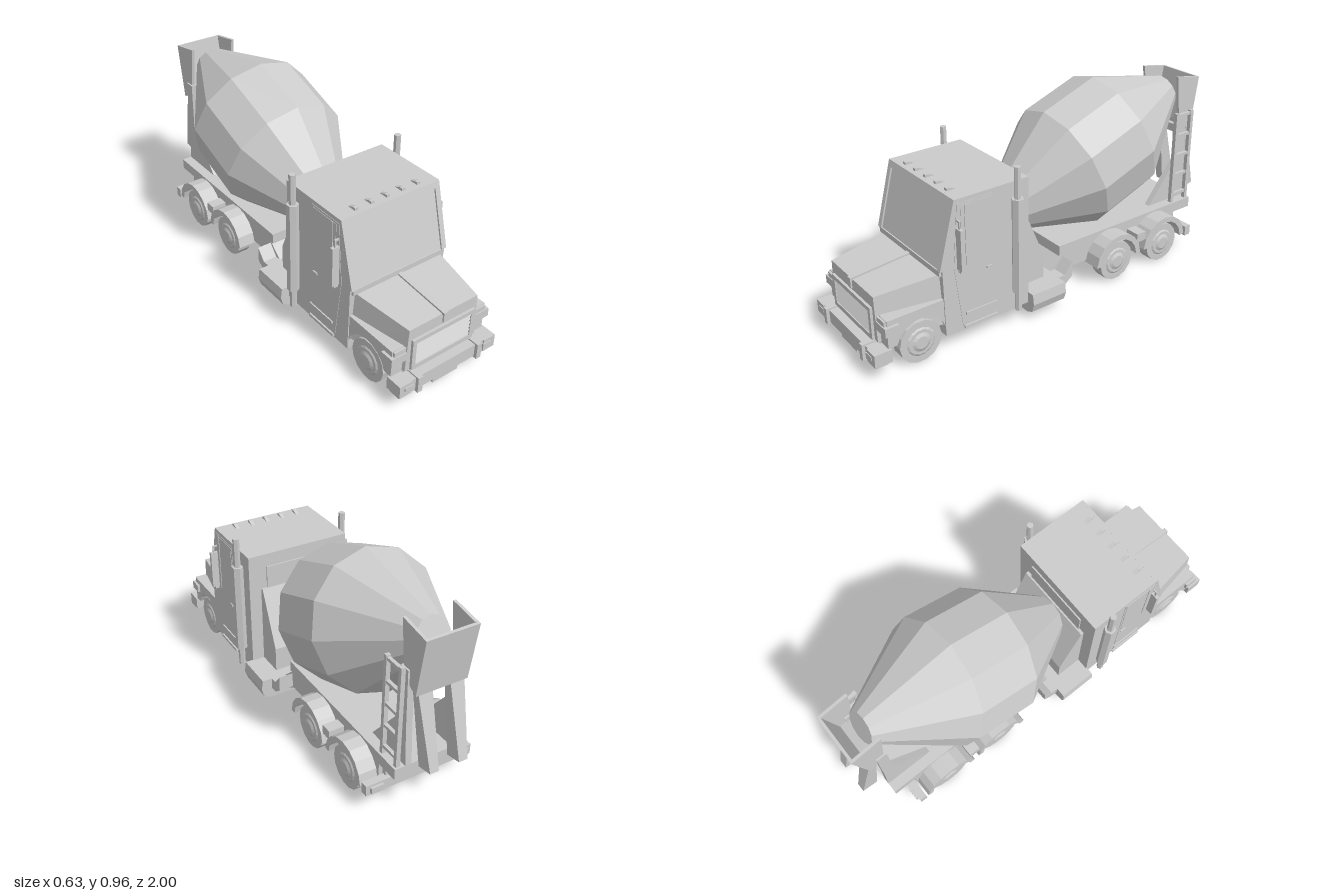
import * as THREE from 'three';

const grey = new THREE.MeshStandardMaterial({ color: 0xcccccc, flatShading: true, side: THREE.DoubleSide });

export function createModel() {
  const truck = new THREE.Group();
  truck.name = 'mixerTruck';

  const add = (name, geometry) => {
    const mesh = new THREE.Mesh(geometry, grey);
    mesh.name = name;
    truck.add(mesh);
    return mesh;
  };
  // Box given by its limits on each axis
  const box = (name, x0, x1, y0, y1, z0, z1) =>
    add(name, new THREE.BoxGeometry(x1 - x0, y1 - y0, z1 - z0)
      .translate((x0 + x1) / 2, (y0 + y1) / 2, (z0 + z1) / 2));
  // The same box on both sides
  const boxes = (name, x0, x1, ...rest) => {
    box(name, x0, x1, ...rest);
    box(name, -x1, -x0, ...rest);
  };
  // Side outline in (z, y), extruded from x0 to x1
  const slab = (name, outline, x0, x1) => {
    const shape = outline instanceof THREE.Shape ? outline
      : new THREE.Shape(outline.map(([z, y]) => new THREE.Vector2(z, y)));
    const g = new THREE.ExtrudeGeometry(shape, { depth: x1 - x0, bevelEnabled: false, curveSegments: 8 });
    return add(name, g.rotateY(-Math.PI / 2).translate(x1, 0, 0));
  };
  const slabs = (name, outline, x0, x1) => {
    slab(name, outline, x0, x1);
    slab(name, outline, -x1, -x0);
  };
  // Bar with a square section between two points
  const bar = (name, a, b, r) => {
    const p = new THREE.Vector3(...a), q = new THREE.Vector3(...b);
    const m = add(name, new THREE.CylinderGeometry(r, r, p.distanceTo(q), 6));
    m.position.copy(p).lerp(q, 0.5);
    m.quaternion.setFromUnitVectors(new THREE.Vector3(0, 1, 0), q.sub(p).normalize());
  };
  const arc = (cz, cy, r, from, to, n) => Array.from({ length: n + 1 }, (_, i) => {
    const a = from + (to - from) * i / n;
    return [cz + r * Math.cos(a), cy + r * Math.sin(a)];
  });

  // Mixing drum: twelve sides, tilted up toward the rear
  const drum = add('drum', new THREE.LatheGeometry([
    [0, -0.363], [0.11, -0.363], [0.315, 0], [0.315, 0.309], [0.08, 0.704], [0, 0.704],
  ].map(([r, y]) => new THREE.Vector2(r, y)), 12));
  drum.position.set(0, 0.555, -0.18);
  drum.rotation.x = -Math.atan2(0.937, 0.349);

  // Cab
  slab('cab', [[0.215, 0.085], [0.65, 0.085], [0.655, 0.4], [0.575, 0.705], [0.215, 0.705]], -0.26, 0.26);
  const glass = (y) => 0.655 - (y - 0.4) * 0.262;
  const pane = (name, y0, y1, x0, x1, t) =>
    slab(name, [[glass(y0), y0], [glass(y0) + t, y0], [glass(y1) + t, y1], [glass(y1), y1]], x0, x1);
  pane('windscreen', 0.4, 0.675, -0.235, 0.235, 0.004);
  pane('windscreenTopFrame', 0.675, 0.705, -0.26, 0.26, 0.012);
  pane('windscreenLeftFrame', 0.4, 0.675, 0.235, 0.26, 0.012);
  pane('windscreenRightFrame', 0.4, 0.675, -0.26, -0.235, 0.012);
  for (let i = -2; i <= 2; i++) {
    const x = i * 0.0825;
    slab('roofLight', [[0.52, 0.705], [0.565, 0.705], [0.565, 0.717], [0.55, 0.717]], x - 0.009, x + 0.009);
  }
  box('rearWindow', -0.17, 0.17, 0.52, 0.64, 0.208, 0.216);

  // Doors, windows, handles and steps
  slabs('door', [[0.395, 0.1], [0.565, 0.1], [0.6, 0.4], [0.575, 0.685], [0.395, 0.685]], 0.258, 0.262);
  slabs('sideWindow', [[0.405, 0.395], [0.56, 0.395], [0.56, 0.675], [0.405, 0.675]], 0.26, 0.264);
  boxes('windowPost', 0.26, 0.267, 0.395, 0.675, 0.535, 0.542);
  boxes('doorHandle', 0.26, 0.268, 0.345, 0.355, 0.41, 0.44);
  boxes('doorStep', 0.255, 0.27, 0.092, 0.105, 0.39, 0.56);
  boxes('upperDoorStep', 0.255, 0.268, 0.155, 0.167, 0.39, 0.55);

  // Mirrors on brackets
  boxes('mirror', 0.262, 0.298, 0.39, 0.58, 0.568, 0.585);
  boxes('mirrorPost', 0.275, 0.283, 0.375, 0.615, 0.573, 0.58);
  boxes('mirrorArm', 0.24, 0.283, 0.608, 0.616, 0.573, 0.58);
  boxes('lowerMirrorArm', 0.255, 0.283, 0.375, 0.383, 0.573, 0.58);

  // Front wings with a wheel arch, and the tapering hood above
  slab('frontWings', [[0.64, 0.12], ...arc(0.765, 0.1, 0.12, Math.PI - 0.2, 0.3, 8),
    [0.92, 0.135], [0.92, 0.265], [0.64, 0.265]], -0.255, 0.255);
  const hoodShape = new THREE.BoxGeometry(2, 1, 1);
  const p = hoodShape.attributes.position;
  for (let i = 0; i < p.count; i++) {
    const front = p.getZ(i) > 0, top = p.getY(i) > 0;
    const half = front ? (top ? 0.185 : 0.195) : (top ? 0.235 : 0.25);
    p.setXYZ(i, p.getX(i) * half, top ? (front ? 0.35 : 0.377) : 0.14, front ? 0.935 : 0.64);
  }
  add('hood', hoodShape);
  slab('hoodStrip', [[0.66, 0.37], [0.94, 0.345], [0.94, 0.31], [0.947, 0.31], [0.947, 0.358], [0.66, 0.383]], -0.012, 0.012);
  box('hoodBackEdge', -0.25, 0.25, 0.375, 0.4, 0.63, 0.665);

  // Grille
  boxes('grilleSide', 0.15, 0.17, 0.14, 0.295, 0.93, 0.947);
  box('grilleTop', -0.15, 0.15, 0.275, 0.295, 0.93, 0.947);
  box('grilleBottom', -0.15, 0.15, 0.14, 0.162, 0.93, 0.947);
  for (let i = 0; i < 6; i++) {
    const y = 0.168 + i * 0.0195;
    slab('grilleSlat', [[0.93, y], [0.946, y], [0.936, y + 0.014], [0.93, y + 0.014]], -0.15, 0.15);
  }
  boxes('headlight', 0.19, 0.268, 0.2, 0.24, 0.87, 0.935);
  boxes('indicator', 0.19, 0.25, 0.24, 0.262, 0.9, 0.93);

  // Front bumper
  box('frontBumper', -0.265, 0.265, 0.072, 0.135, 0.93, 0.985);
  boxes('bumperEnd', 0.2, 0.265, 0.075, 0.135, 0.91, 0.99);
  boxes('bumperGuard', 0.152, 0.177, 0.065, 0.142, 0.93, 1);
  boxes('bumperLamp', 0.195, 0.24, 0.102, 0.118, 0.98, 0.994);
  box('numberPlate', -0.07, 0.07, 0.04, 0.072, 0.96, 0.975);

  // Exhaust stacks
  for (const s of [-1, 1]) {
    bar('exhaustPipe', [s * 0.284, 0.09, 0.29], [s * 0.284, 0.78, 0.29], 0.016);
    bar('exhaustMuffler', [s * 0.284, 0.185, 0.29], [s * 0.284, 0.635, 0.29], 0.028);
    bar('exhaustBracket', [s * 0.25, 0.55, 0.29], [s * 0.284, 0.55, 0.29], 0.01);
  }

  // Tanks across the frame behind the cab, with chamfered ends
  const tank = new THREE.Shape([[-0.26, 0.035], [0.26, 0.035], [0.292, 0.05], [0.305, 0.09], [0.298, 0.14],
    [-0.298, 0.14], [-0.305, 0.09], [-0.292, 0.05]].map(([x, y]) => new THREE.Vector2(x, y)));
  add('tanks', new THREE.ExtrudeGeometry(tank, { depth: 0.185, bevelEnabled: false }).translate(0, 0, 0.035));

  // Drum cradle behind the cab
  slab('frontCradle', [[0.215, 0.12], [0.085, 0.12], [0.085, 0.26], [0.2, 0.53], [0.215, 0.53]], -0.2, 0.2);

  // Chassis and deck
  slab('chassis', [[0.25, 0.085], [0, 0.085], [-0.06, 0.12], [-0.78, 0.12], [-0.78, 0.21], [-0.05, 0.21], [0.03, 0.14], [0.25, 0.14]], -0.18, 0.18);
  slabs('frameStep', [[0.04, 0.085], [0, 0.085], [-0.045, 0.12], [-0.045, 0.195], [0, 0.14], [0.04, 0.14]], 0.17, 0.25);
  box('deck', -0.18, 0.18, 0.2, 0.252, -0.89, -0.025);

  // Wheels with hubs, and faceted rear wings
  for (const z of [0.765, -0.33, -0.635]) {
    for (const s of [-1, 1]) {
      const disc = (name, r0, r1, x0, x1) =>
        add(name, new THREE.CylinderGeometry(r1, r0, x1 - x0, 14)
          .translate(0, (x0 + x1) / 2, 0).rotateZ(-s * Math.PI / 2).translate(0, 0.1, z));
      disc('tyre', 0.1, 0.1, 0.18, 0.245);
      disc('rim', 0.068, 0.06, 0.245, 0.25);
      disc('hub', 0.045, 0.03, 0.25, 0.257);
    }
    bar('axle', [-0.19, 0.1, z], [0.19, 0.1, z], 0.02);
    if (z < 0) slabs('rearWing', [...arc(z, 0.105, 0.14, 0.05, Math.PI - 0.05, 8),
      ...arc(z, 0.105, 0.113, Math.PI - 0.05, 0.05, 8)], 0.165, 0.265);
  }
  boxes('wingBridge', 0.165, 0.255, 0.16, 0.205, -0.51, -0.455);

  // Rear bumper
  box('rearBumper', -0.265, 0.265, 0.095, 0.145, -0.82, -0.785);
  boxes('tailLamp', 0.185, 0.245, 0.105, 0.135, -0.832, -0.815);
  boxes('bumperBracket', 0.12, 0.16, 0.12, 0.2, -0.8, -0.77);

  // Rear pedestal for the drum
  slabs('rearGusset', [[-0.65, 0.25], [-0.89, 0.25], [-0.875, 0.5], [-0.835, 0.48]], 0.1, 0.13);
  slabs('rearPost', [[-0.83, 0.25], [-0.885, 0.25], [-0.87, 0.7], [-0.82, 0.7]], 0.1, 0.13);
  box('rearCrossbar', -0.13, 0.13, 0.6, 0.64, -0.87, -0.835);

  // Ladder on the left side
  for (const z of [-0.775, -0.873]) box('ladderRail', 0.15, 0.17, 0.25, 0.73, z - 0.009, z + 0.009);
  for (let i = 0; i < 5; i++) {
    const y = 0.285 + i * 0.106;
    box('ladderRung', 0.152, 0.168, y, y + 0.014, -0.873, -0.775);
  }

  // Loading hopper, open toward the drum
  slabs('hopperSide', [[-0.805, 0.9], [-0.955, 0.875], [-0.915, 0.605], [-0.835, 0.66]], 0.108, 0.122);
  slab('hopperBack', [[-0.942, 0.877], [-0.955, 0.875], [-0.915, 0.605], [-0.902, 0.615]], -0.122, 0.122);
  slab('hopperFloor', [[-0.835, 0.672], [-0.835, 0.655], [-0.915, 0.605], [-0.91, 0.625]], -0.122, 0.122);

  // Splayed discharge chutes
  for (const s of [-1, 1]) {
    const chute = slab('chute', [[-0.87, 0.64], [-0.913, 0.61], [-1, 0.275], [-0.925, 0.26]], -0.03, 0.03);
    const q = chute.geometry.attributes.position;
    for (let i = 0; i < q.count; i++) {
      const low = q.getY(i) < 0.4;
      q.setX(i, s * (low ? 0.07 : 0.075) + q.getX(i) * (low ? 0.7 : 1.1));
    }
  }

  return truck;
}
